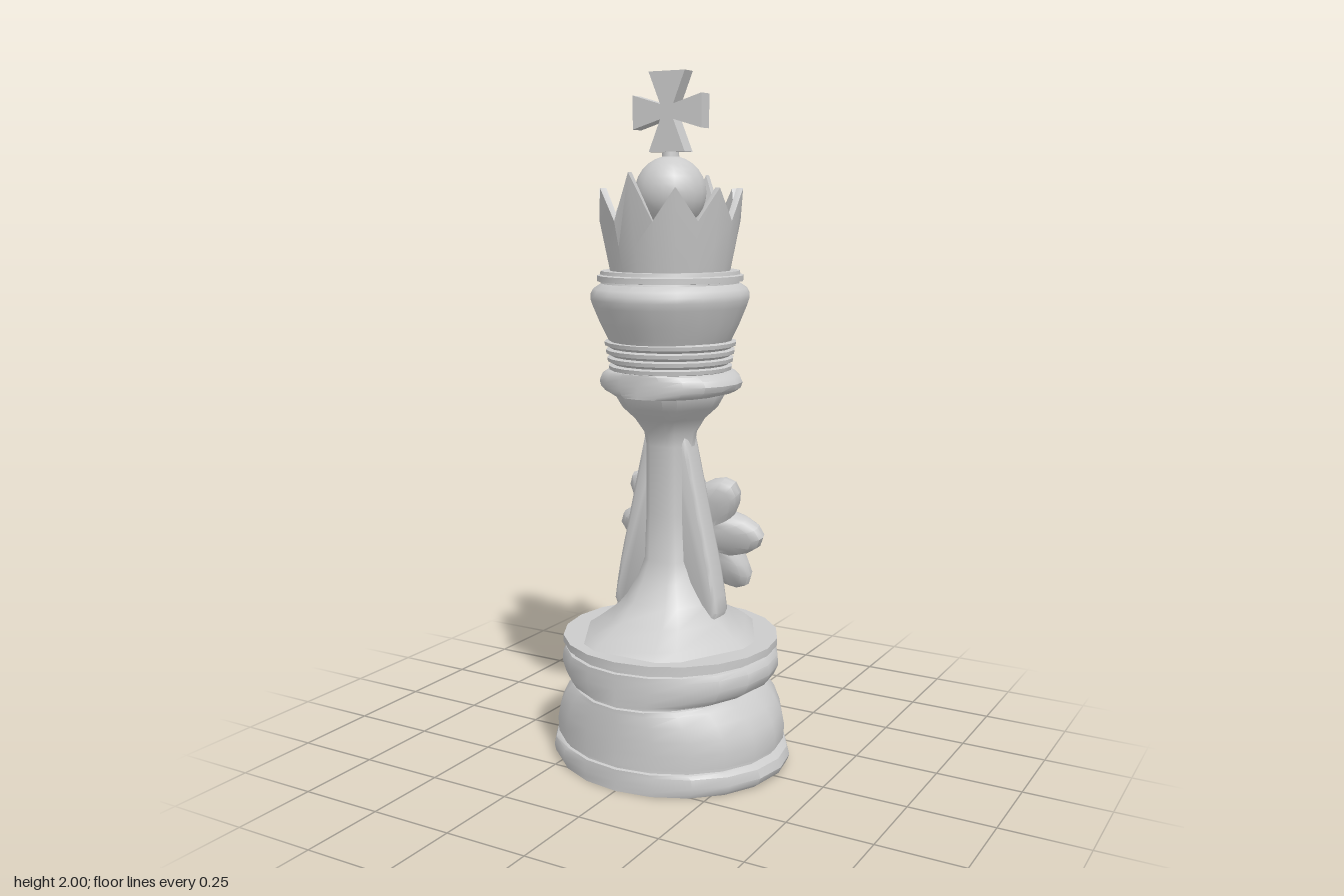
import * as THREE from 'three';
import { toCreasedNormals } from 'three/addons/utils/BufferGeometryUtils.js';

const material = new THREE.MeshStandardMaterial({ color: 0xcccccc, side: THREE.DoubleSide });

// Evenly spaced angles, starting at +z and turning towards +x
const around = n => Array.from({ length: n }, (_, i) => (i / n) * Math.PI * 2);

// Elliptical cross-sections from [y, half width, half depth] rows
const ellipses = (rows, angles) => rows.map(([y, rx, rz]) =>
  angles.map(t => new THREE.Vector3(rx * Math.sin(t), y, rz * Math.cos(t))));

// Skin a stack of closed rings, dropping collapsed triangles at the caps
function skin(rings, crease = 0.6) {
  const pos = [];
  const tri = (a, b, c) => {
    if (a.distanceTo(b) < 1e-6 || b.distanceTo(c) < 1e-6 || c.distanceTo(a) < 1e-6) return;
    for (const p of [a, b, c]) pos.push(p.x, p.y, p.z);
  };
  for (let i = 0; i < rings.length - 1; i++) {
    const lo = rings[i], hi = rings[i + 1];
    for (let j = 0; j < lo.length; j++) {
      const k = (j + 1) % lo.length;
      tri(lo[j], lo[k], hi[k]);
      tri(lo[j], hi[k], hi[j]);
    }
  }
  const g = new THREE.BufferGeometry();
  g.setAttribute('position', new THREE.Float32BufferAttribute(pos, 3));
  return toCreasedNormals(g, crease);
}

export function createModel() {
  const model = new THREE.Group();
  const add = (name, geometry) => {
    const mesh = new THREE.Mesh(geometry, material);
    mesh.name = name;
    model.add(mesh);
    return mesh;
  };
  const round = around(20);

  // Hollow base: bulges sideways only, nearly constant depth
  add('base', skin(ellipses([
    [0, 0.345, 0.315], [0.012, 0.36, 0.315], [0.03, 0.367, 0.315], [0.055, 0.358, 0.315],
    [0.064, 0.34, 0.315], [0.066, 0.335, 0.306], [0.076, 0.335, 0.306], [0.078, 0.345, 0.315],
    [0.12, 0.348, 0.315], [0.16, 0.338, 0.315], [0.2, 0.315, 0.315], [0.23, 0.283, 0.315],
    [0.242, 0.265, 0.315], [0.244, 0.26, 0.306], [0.252, 0.265, 0.306], [0.254, 0.285, 0.315],
    [0.27, 0.31, 0.315], [0.3, 0.325, 0.315], [0.33, 0.322, 0.315], [0.345, 0.31, 0.315],
    [0.347, 0.3, 0.306], [0.356, 0.3, 0.306], [0.358, 0.32, 0.315], [0.38, 0.32, 0.315],
    [0.38, 0, 0],
  ], round)));

  // Six-sided stem with softened corners
  const hexAngles = [];
  for (let i = 0; i < 6; i++) {
    const corner = Math.PI / 6 + i * Math.PI / 3;
    hexAngles.push(corner - 0.13, corner + 0.13);
  }
  add('stem', skin(ellipses([
    [0.375, 0.27, 0.29], [0.4, 0.232, 0.265], [0.44, 0.18, 0.185], [0.49, 0.14, 0.135],
    [0.55, 0.105, 0.102], [0.61, 0.084, 0.077], [0.75, 0.077, 0.074], [0.95, 0.076, 0.074],
    [0.99, 0.082, 0.083], [1.03, 0.106, 0.115], [1.065, 0.145, 0.152], [1.1, 0.165, 0.175],
    [1.11, 0.165, 0.175],
  ], hexAngles), 0.7));

  // Tapered side fins
  const finShape = new THREE.Shape();
  finShape.moveTo(0.02, 0.44);
  finShape.lineTo(0.02, 0.97);
  finShape.lineTo(0.058, 0.97);
  finShape.quadraticCurveTo(0.09, 0.83, 0.123, 0.68);
  finShape.quadraticCurveTo(0.15, 0.57, 0.163, 0.47);
  finShape.lineTo(0.15, 0.44);
  const finGeometry = toCreasedNormals(new THREE.ExtrudeGeometry(finShape, {
    depth: 0.044, bevelEnabled: true, bevelSize: 0.012, bevelThickness: 0.016, bevelSegments: 2, curveSegments: 5,
  }).translate(0, 0, -0.022), 0.8);
  add('leftFin', finGeometry);
  add('rightFin', finGeometry).rotation.y = Math.PI;

  // Collar above the stem
  add('collar', skin(ellipses([
    [1.1, 0, 0], [1.1, 0.16, 0.185], [1.108, 0.19, 0.185], [1.12, 0.208, 0.185], [1.136, 0.214, 0.185],
    [1.152, 0.205, 0.185], [1.164, 0.185, 0.185], [1.168, 0.165, 0.185], [1.168, 0, 0],
  ], round)));

  // Ribbed neck
  const ribs = [];
  for (let i = 0; i < 4; i++) {
    const y = 1.165 + i * 0.023, r = 0.166 + i * 0.004;
    ribs.push([y, r, r], [y + 0.004, r + 0.01, r + 0.012], [y + 0.015, r + 0.012, r + 0.014], [y + 0.019, r, r]);
  }
  add('neck', skin(ellipses(ribs, round)));

  // Flared head with a band on top
  add('head', skin(ellipses([
    [1.25, 0, 0], [1.25, 0.172, 0.185], [1.265, 0.18, 0.192], [1.3, 0.197, 0.21], [1.35, 0.217, 0.233],
    [1.37, 0.224, 0.24], [1.385, 0.224, 0.24], [1.4, 0.217, 0.232], [1.415, 0.195, 0.21],
    [1.42, 0.195, 0.208], [1.421, 0.206, 0.22], [1.437, 0.206, 0.22], [1.44, 0.197, 0.212],
    [1.45, 0.195, 0.21], [1.452, 0, 0],
  ], round)));

  // Crown: ten points, the front and back ones tallest
  const rim = (rx, rz) => round.map((t, i) => {
    const y = i % 2 ? 1.59 : i % 10 ? 1.68 : 1.72;
    const s = 1 + (y - 1.59) * 0.5;
    return new THREE.Vector3(rx * s * Math.sin(t), y, rz * s * Math.cos(t));
  });
  add('crown', skin([
    ...ellipses([[1.445, 0.168, 0.18], [1.52, 0.182, 0.198]], round),
    rim(0.195, 0.215), rim(0.177, 0.197),
    ...ellipses([[1.52, 0.163, 0.178], [1.52, 0, 0]], round),
  ], 0.5));

  // Ball and short pin under the cross
  add('ball', new THREE.SphereGeometry(0.102, 20, 14).translate(0, 1.668, 0));
  add('pin', new THREE.CylinderGeometry(0.022, 0.026, 0.04, 12).translate(0, 1.772, 0));

  // Cross with four widening arms
  const crossPoints = [];
  for (let i = 0; i < 4; i++) {
    const tip = i % 2 ? 0.047 : 0.058;
    for (const [x, y] of [[0.021, 0.021], [tip, 0.11], [-tip, 0.11]]) {
      crossPoints.push(new THREE.Vector2(x, y).rotateAround(new THREE.Vector2(), i * Math.PI / 2));
    }
  }
  add('cross', new THREE.ExtrudeGeometry(new THREE.Shape(crossPoints), { depth: 0.046, bevelEnabled: false })
    .translate(0, 1.89, -0.023));

  // Puffy eight-pointed star leaning against the back of the stem
  const starAngles = around(48);
  const starRing = ([h, s]) => starAngles.map((t, i) => {
    const lobe = 1 - Math.abs((i % 6) - 0) / 3;
    const tip = Math.abs(lobe);
    const r = s * (0.168 + 0.074 * Math.sin(tip * Math.PI / 2) ** 1.15);
    return new THREE.Vector3(r * Math.sin(t), h, r * Math.cos(t));
  });
  const star = add('star', skin([
    [-0.056, 0], [-0.054, 0.35], [-0.045, 0.7], [-0.034, 0.9], [-0.018, 0.98], [0, 1],
    [0.018, 0.98], [0.034, 0.9], [0.045, 0.7], [0.054, 0.35], [0.056, 0],
  ].map(starRing), 0.7));
  star.position.set(0, 0.67, -0.125);
  star.rotation.x = -73 * Math.PI / 180;

  return model;
}
